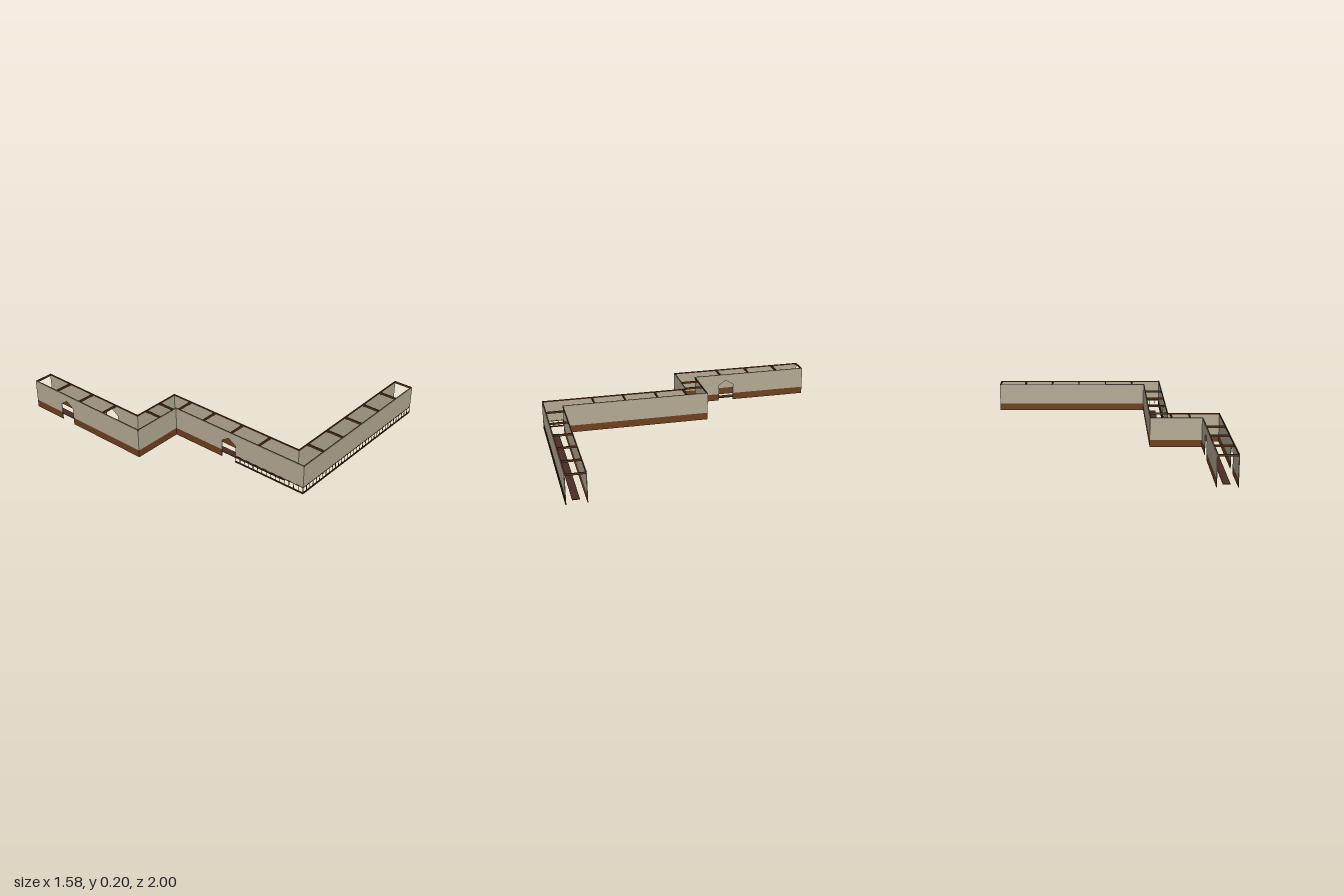
import * as THREE from 'three';

const T = 0.004;            // wall thickness
const DADO = 0.05;          // top of the wooden lower wall
const TOP = 0.2;            // top of the walls
const DOOR = { half: 0.055, spring: 0.12, peak: 0.156 };

export function createModel() {
  const mat = (name, color) => {
    const m = new THREE.MeshStandardMaterial({ color });
    m.name = name;
    return m;
  };
  const plaster = mat('plaster', 0xb5aa94);
  const panelWood = mat('panel wood', 0x6e4020);
  const beamWood = mat('beam wood', 0x5a3618);
  const railWood = mat('dark rail wood', 0x4a2a14);
  const carpet = mat('carpet', 0x4a2c24);

  const model = new THREE.Group();
  model.name = 'corridor';

  // Box given by its minimum and maximum corners
  const box = (parent, name, material, x0, x1, y0, y1, z0, z1) => {
    const mesh = new THREE.Mesh(new THREE.BoxGeometry(x1 - x0, y1 - y0, z1 - z0), material);
    mesh.position.set((x0 + x1) / 2, (y0 + y1) / 2, (z0 + z1) / 2);
    mesh.name = name;
    parent.add(mesh);
    return mesh;
  };

  // Upper wall, notched where a pointed doorway passes through it
  const plasterPanel = (x0, x1, door) => {
    const s = new THREE.Shape();
    s.moveTo(x0, DADO);
    if (door !== undefined) {
      s.lineTo(door - DOOR.half, DADO);
      s.lineTo(door - DOOR.half, DOOR.spring);
      s.lineTo(door, DOOR.peak);
      s.lineTo(door + DOOR.half, DOOR.spring);
      s.lineTo(door + DOOR.half, DADO);
    }
    s.lineTo(x1, DADO);
    s.lineTo(x1, TOP);
    s.lineTo(x0, TOP);
    const g = new THREE.ExtrudeGeometry(s, { depth: T, bevelEnabled: false });
    g.translate(0, 0, -T / 2);
    const mesh = new THREE.Mesh(g, plaster);
    mesh.name = 'upperWall';
    return mesh;
  };

  // Open balustrade in place of the wooden lower wall
  const balustrade = (parent, x0, x1) => {
    box(parent, 'topRail', railWood, x0, x1, 0.045, DADO, -0.003, 0.003);
    box(parent, 'bottomRail', railWood, x0, x1, 0, 0.009, -0.003, 0.003);
    const n = Math.round((x1 - x0) / 0.034);
    for (let i = 0; i <= n; i++) {
      const x = x0 + 0.002 + ((x1 - x0 - 0.004) * i) / n;
      box(parent, 'baluster', railWood, x - 0.0015, x + 0.0015, 0.009, 0.045, -0.0015, 0.0015);
    }
  };

  // One straight wall from a to b; inner is the local z side facing the corridor
  const wall = ([ax, az], [bx, bz], inner, { door, railFrom } = {}) => {
    const g = new THREE.Group();
    g.name = 'wall';
    const length = Math.hypot(bx - ax, bz - az);
    const x0 = -T / 2, x1 = length + T / 2;
    g.position.set(ax, 0, az);
    g.rotation.y = Math.atan2(az - bz, bx - ax);
    g.add(plasterPanel(x0, x1, door));

    const solidEnd = railFrom ?? x1;
    const spans = door === undefined
      ? [[x0, solidEnd]]
      : [[x0, door - DOOR.half], [door + DOOR.half, solidEnd]];
    for (const [p, q] of spans) {
      if (q - p > 0.001) box(g, 'lowerWall', panelWood, p, q, 0, DADO, -T / 2, T / 2);
    }
    if (railFrom !== undefined) balustrade(g, railFrom, x1);

    // Cornice along the inner top edge
    const c = inner * 0.003;
    box(g, 'cornice', railWood, x0, x1, TOP - 0.008, TOP + 0.001, c - 0.0025, c + 0.0025);
    model.add(g);
  };

  // Both sides of the zigzag corridor, from its back end to its front end
  const west = [[-0.788, -0.998], [-0.788, -0.028], [-0.438, -0.028], [-0.438, 0.998], [0.788, 0.998]];
  const east = [[-0.66, -0.998], [-0.66, -0.158], [-0.312, -0.158], [-0.312, 0.868], [0.788, 0.868]];
  const westParts = [{ door: 0.308 }, {}, { door: 0.448, railFrom: 0.503 }, { railFrom: 0 }];
  const eastParts = [{ door: 0.603 }, {}, {}, {}];
  for (let i = 0; i < 4; i++) {
    wall(west[i], west[i + 1], -1, westParts[i]);
    wall(east[i], east[i + 1], 1, eastParts[i]);
  }

  // Ceiling beams across each leg
  const B = 0.0045;
  const beamY = [TOP - 0.013, TOP];
  const beamAcrossX = (x0, x1, z, h = B) =>
    box(model, 'ceilingBeam', beamWood, x0, x1, ...beamY, z - h, z + h);
  const beamAcrossZ = (z0, z1, x, h = B) =>
    box(model, 'ceilingBeam', beamWood, x - h, x + h, ...beamY, z0, z1);
  for (const z of [-0.795, -0.575, -0.355]) beamAcrossX(-0.788, -0.66, z);
  for (const x of [-0.58, -0.457]) beamAcrossZ(-0.158, -0.028, x);
  for (const z of [-0.01, 0.2, 0.43, 0.65]) beamAcrossX(-0.438, -0.312, z);
  for (const x of [-0.225, -0.02, 0.185, 0.39, 0.595]) beamAcrossZ(0.868, 0.998, x);
  // Slim beams closing the two open ends
  beamAcrossX(-0.788, -0.66, -0.997, 0.003);
  beamAcrossZ(0.868, 0.998, 0.787, 0.003);

  // Carpet runners, one per leg: x0, x1, z0, z1
  const runners = [
    [-0.748, -0.702, -0.952, -0.21],
    [-0.68, -0.435, -0.115, -0.07],
    [-0.402, -0.355, 0.035, 0.825],
    [-0.297, 0.738, 0.908, 0.955],
  ];
  for (const [x0, x1, z0, z1] of runners) {
    box(model, 'carpetRunner', carpet, x0, x1, 0, 0.004, z0, z1);
  }

  return model;
}
